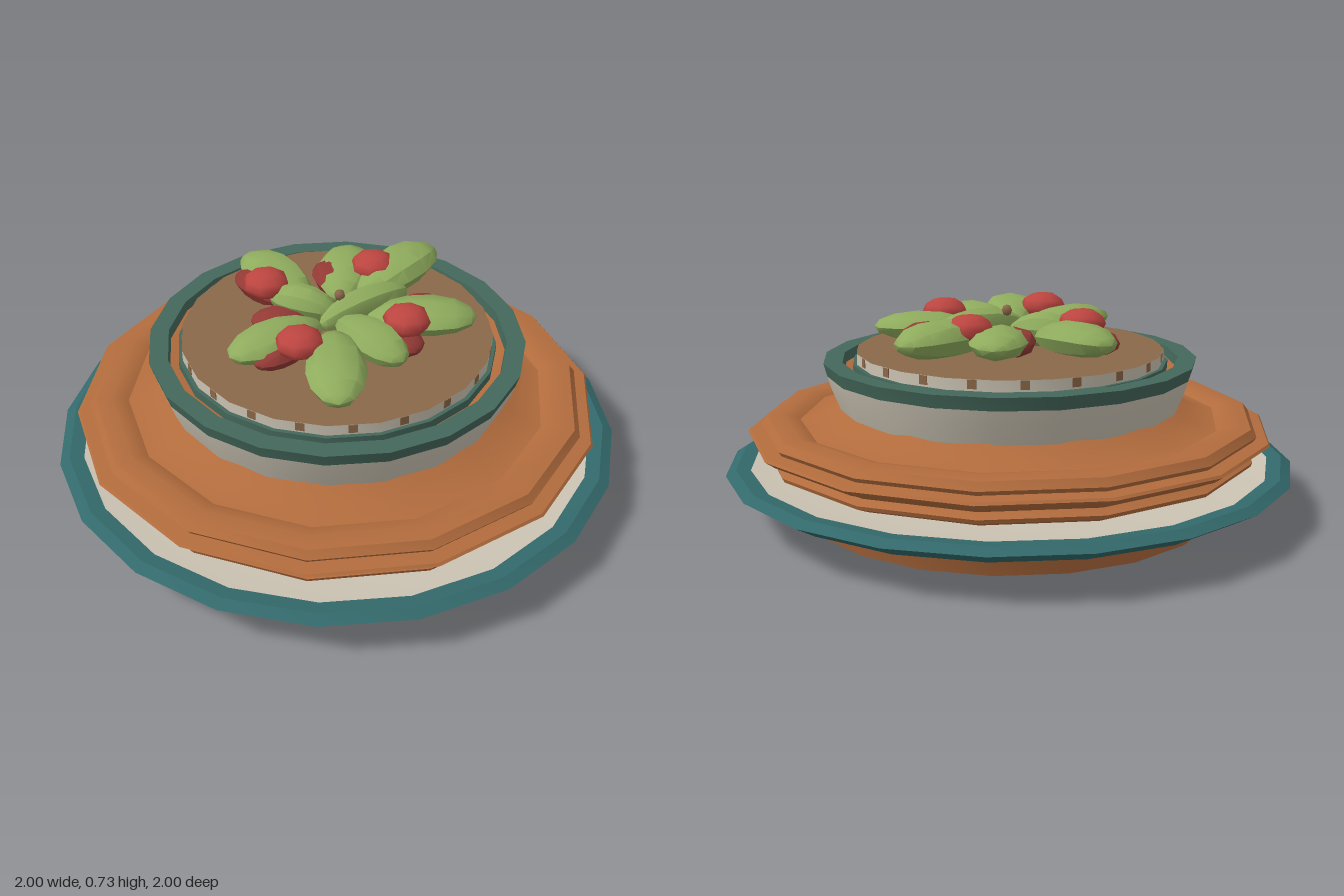
import * as THREE from 'three';
import { toCreasedNormals } from 'three/addons/utils/BufferGeometryUtils.js';

export function createModel() {
  const root = new THREE.Group();
  root.name = 'stackedServingDish';

  const paint = (name, color) => {
    const m = new THREE.MeshStandardMaterial({ color });
    m.name = name;
    return m;
  };
  const clay = paint('terracotta', 0xb26c3d);
  const teal = paint('tealGlaze', 0x33696b);
  const green = paint('greenGlaze', 0x44675a);
  const cream = paint('creamGlaze', 0xcbc3b3);
  const soup = paint('brownFilling', 0x8a6848);
  const leafGreen = paint('leafGreen', 0x8fac5d);
  const red = paint('berryRed', 0xbc4540);
  const darkRed = paint('darkRed', 0x943a36);
  const patch = cream.clone();
  patch.name = 'creamPatch';
  patch.side = THREE.DoubleSide;

  const add = (name, geo, mat, parent = root) => {
    const mesh = new THREE.Mesh(geo, mat);
    mesh.name = name;
    parent.add(mesh);
    return mesh;
  };

  // Turned part: profile of [radius, height], with sharp ridges kept
  const turn = (name, mat, sides, profile) => {
    const pts = profile.map(([r, y]) => new THREE.Vector2(r, y));
    const geo = new THREE.LatheGeometry(pts, sides);
    geo.rotateY(Math.PI / 2);
    return add(name, toCreasedNormals(geo, 0.5), mat);
  };

  // Foot and saucer
  turn('foot', clay, 20, [[0, 0.003], [0.74, 0.003], [0.775, 0.1]]);
  turn('saucerUnderside', cream, 20, [[0.76, 0.093], [0.82, 0.1], [0.925, 0.12]]);
  turn('saucerRim', teal, 20, [[0.925, 0.12], [1, 0.165], [0.965, 0.185], [0.915, 0.18]]);
  turn('saucerTop', cream, 20, [[0.915, 0.18], [0.82, 0.17], [0.6, 0.165]]);

  // Cream splashes under the foot, as [u, v] ends seen from below
  const splash = new THREE.Group();
  splash.name = 'footSplashes';
  root.add(splash);
  const toFloor = (u, v) => new THREE.Vector2((v - u) * Math.SQRT1_2, (u + v) * Math.SQRT1_2);
  const floorShape = (pts) => {
    const geo = new THREE.ShapeGeometry(new THREE.Shape(pts));
    geo.rotateX(-Math.PI / 2);
    add('splash', geo, patch, splash);
  };
  for (const [u, v] of [[-0.48, 0.15], [-0.36, -0.16], [-0.23, -0.28], [-0.03, -0.35], [0.17, -0.26], [0.3, -0.12]]) {
    const du = u - 0.02, dv = v - 0.08, len = Math.hypot(du, dv);
    const nu = -dv / len * 0.05, nv = du / len * 0.05;
    floorShape([toFloor(0.02, 0.08), toFloor(u + nu, v + nv), toFloor(u - nu, v - nv)]);
  }
  const blob = [];
  for (let i = 0; i < 14; i++) {
    const a = i / 14 * Math.PI * 2, k = i % 2 ? 1 : 0.88;
    blob.push(toFloor(0.18 + 0.26 * k * Math.cos(a), 0.29 + 0.27 * k * Math.sin(a)));
  }
  floorShape(blob);

  // Ridged middle dish
  turn('ridgedDish', clay, 14, [
    [0.7, 0.168], [0.81, 0.19], [0.86, 0.212], [0.865, 0.225], [0.835, 0.24], [0.865, 0.255],
    [0.89, 0.265], [0.922, 0.288], [0.915, 0.296], [0.865, 0.3], [0.875, 0.315], [0.855, 0.34],
    [0.8, 0.345], [0.765, 0.338], [0.74, 0.325], [0.7, 0.332],
    [0.64, 0.358], [0.59, 0.385], [0.4, 0.385]]);

  // Bowl with glazed lip
  turn('bowlWall', cream, 20, [[0.5, 0.375], [0.6, 0.375], [0.63, 0.45], [0.643, 0.495]]);
  turn('bowlLip', green, 20, [[0.643, 0.495], [0.655, 0.54], [0.59, 0.54], [0.585, 0.505]]);
  turn('bowlInside', clay, 20, [[0.585, 0.505], [0.552, 0.5]]);
  turn('innerGlazeLine', green, 20, [[0.554, 0.5], [0.554, 0.53], [0.538, 0.53]]);

  // Filling: cream edge, brown notches, brown top
  turn('fillingEdge', cream, 20, [[0.54, 0.48], [0.54, 0.568]]);
  turn('fillingTop', soup, 20, [[0.54, 0.568], [0, 0.57]]);
  const notches = new THREE.Group();
  notches.name = 'edgeNotches';
  root.add(notches);
  for (let i = 0; i < 20; i++) {
    const a = (i + 0.5) / 20 * Math.PI * 2;
    const n = add('notch', new THREE.BoxGeometry(0.03, 0.03, 0.006), soup, notches);
    n.position.set(Math.sin(a) * 0.533, 0.552, Math.cos(a) * 0.533);
    n.rotation.y = a;
  }

  // Arched leaf lying between two points, flat on its underside
  const leaf = (name, mat, [x0, z0, x1, z1, w, top]) => {
    const geo = new THREE.SphereGeometry(1, 8, 7);
    geo.rotateZ(-Math.PI / 2);
    const p = geo.attributes.position;
    const len = Math.hypot(x1 - x0, z1 - z0), h = top - 0.565;
    for (let i = 0; i < p.count; i++) {
      const x = p.getX(i), y = p.getY(i), z = p.getZ(i);
      const spine = 0.52 + 0.1 * (1 - x * x) + 0.06 * x;
      const lift = y > 0 ? y * 0.4 : y * 0.5;
      p.setXYZ(i, x * len / 2, Math.max(0, spine + lift) * h, z * w / 2 * (1 + 0.12 * x));
    }
    const mesh = add(name, toCreasedNormals(geo, 0.7), mat, salad);
    mesh.position.set((x0 + x1) / 2, 0.565, (z0 + z1) / 2);
    mesh.rotation.y = -Math.atan2(z1 - z0, x1 - x0);
  };

  const salad = new THREE.Group();
  salad.name = 'leavesAndBerries';
  root.add(salad);

  // Green leaves: inner end x z, outer end x z, width, top height
  [
    [-0.03, -0.14, -0.08, -0.49, 0.18, 0.7],
    [0.06, -0.08, 0.28, -0.34, 0.2, 0.69],
    [0.13, -0.05, 0.52, -0.17, 0.2, 0.71],
    [-0.09, 0.03, 0.28, 0.02, 0.11, 0.71],
    [0.07, 0.06, 0.39, 0.28, 0.2, 0.69],
    [-0.01, 0.03, 0.02, 0.37, 0.16, 0.7],
    [-0.07, 0.09, -0.28, 0.45, 0.2, 0.7],
    [-0.07, 0.01, -0.44, 0.04, 0.18, 0.69],
    [0.01, -0.01, -0.14, -0.21, 0.13, 0.7],
  ].forEach((l) => leaf('leaf', leafGreen, l));

  // Red leaves tucked underneath
  [
    [-0.12, -0.2, -0.15, -0.42, 0.12, 0.67],
    [0.08, -0.12, 0.14, -0.3, 0.13, 0.68],
    [-0.08, -0.06, -0.26, -0.14, 0.12, 0.65],
    [0.12, 0.1, 0.36, 0.13, 0.13, 0.67],
    [-0.16, 0.07, -0.38, 0.1, 0.12, 0.66],
    [-0.03, 0.1, -0.08, 0.24, 0.1, 0.63],
    [0.06, 0.16, 0.14, 0.31, 0.14, 0.65],
  ].forEach((l) => leaf('redLeaf', darkRed, l));

  // Berries
  for (const [x, z] of [[-0.14, -0.24], [0.245, -0.14], [-0.23, 0.135], [0.14, 0.215]]) {
    const b = add('berry', new THREE.SphereGeometry(0.082, 8, 6), red, salad);
    b.scale.y = 0.6;
    b.position.set(x, 0.677, z);
  }
  const bud = add('centreBud', new THREE.SphereGeometry(0.02, 6, 4), soup, salad);
  bud.position.set(0.015, 0.7, -0.005);

  return root;
}
